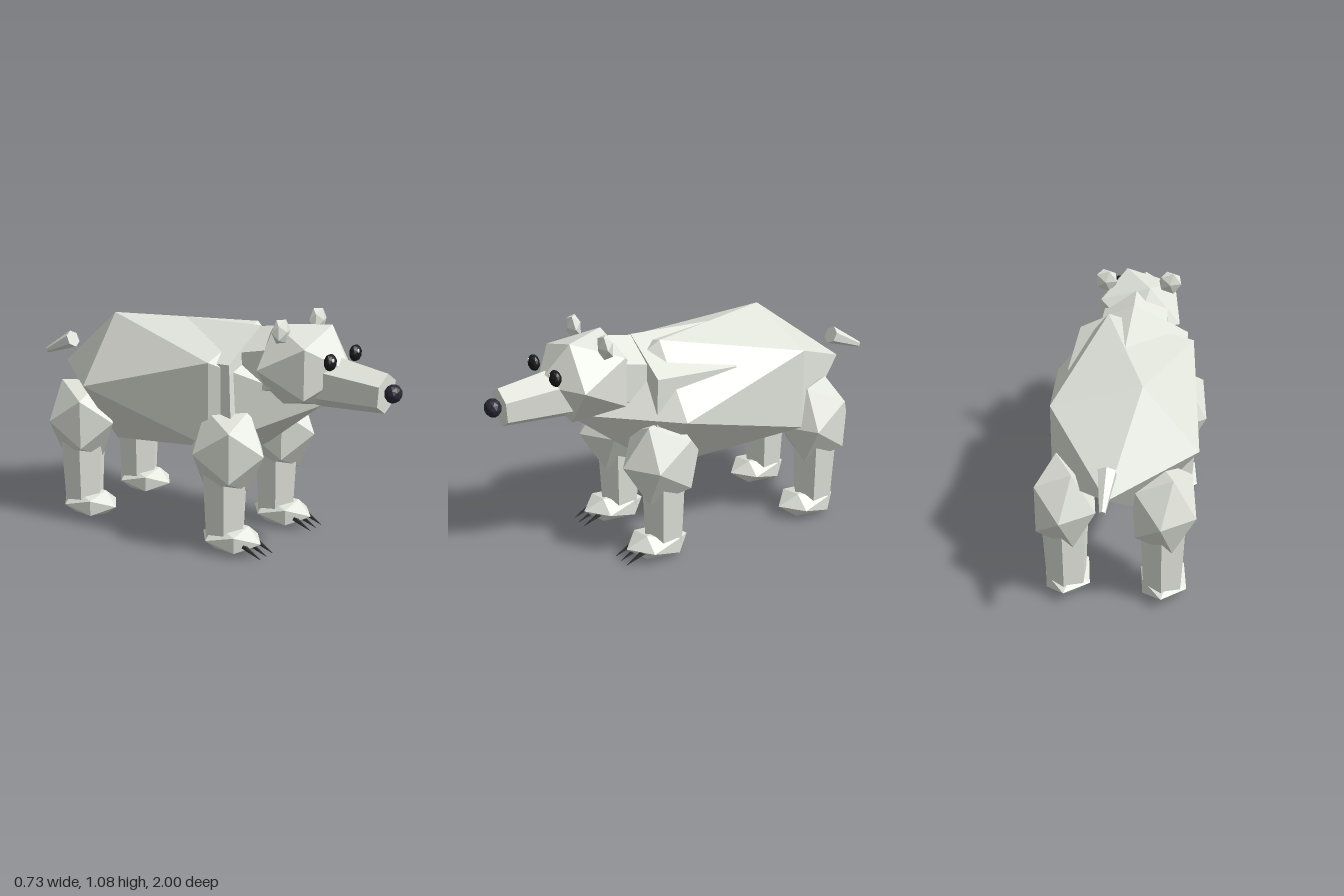
import * as THREE from 'three';
import { ConvexGeometry } from 'three/addons/geometries/ConvexGeometry.js';

const material = (name, color) => {
  const m = new THREE.MeshStandardMaterial({ color, flatShading: true });
  m.name = name;
  return m;
};

export function createModel() {
  const fur = material('pale fur', 0xe2e5dc);
  const eyeBlack = material('eye black', 0x1a1a1c);
  const noseBlack = material('nose black', 0x2a2834);
  const clawGrey = material('claw grey', 0x2c2c30);
  const white = material('glint white', 0xffffff);

  const bear = new THREE.Group();
  bear.name = 'bear';

  function add(name, geometry, mat, x, y, z, parent = bear) {
    const mesh = new THREE.Mesh(geometry, mat);
    mesh.name = name;
    mesh.position.set(x, y, z);
    parent.add(mesh);
    return mesh;
  }

  // Twenty-sided lump with its poles along z
  function lump(rx, ry, rz) {
    const points = [new THREE.Vector3(0, 0, rz), new THREE.Vector3(0, 0, -rz)];
    for (let i = 0; i < 10; i++) {
      const a = i * Math.PI / 5;
      const z = i % 2 ? -0.447 : 0.447;
      points.push(new THREE.Vector3(0.894 * rx * Math.cos(a), 0.894 * ry * Math.sin(a), z * rz));
    }
    return new ConvexGeometry(points);
  }

  // Rounder faceted ball for small dark details
  const ball = (rx, ry, rz) => new THREE.IcosahedronGeometry(1, 1).scale(rx, ry, rz);

  // Tapered prism running from one point to another
  function taper(name, from, to, r0, r1, sides, mat, parent = bear) {
    const a = new THREE.Vector3(...from);
    const b = new THREE.Vector3(...to);
    const dir = b.clone().sub(a);
    const mid = a.clone().add(b).multiplyScalar(0.5);
    const geometry = new THREE.CylinderGeometry(r1, r0, dir.length(), sides);
    const mesh = add(name, geometry, mat, mid.x, mid.y, mid.z, parent);
    mesh.quaternion.setFromUnitVectors(new THREE.Vector3(0, 1, 0), dir.normalize());
    return mesh;
  }

  // Torso, shoulders and neck
  add('body', lump(0.4, 0.365, 0.74), fur, 0, 0.69, -0.125);
  const shoulders = taper('shoulders', [0, 0.73, -0.1], [0, 0.745, 0.3], 0.27, 0.265, 6, fur);
  shoulders.scale.x = 1.12;
  taper('neck', [0, 0.8, 0.2], [0, 0.86, 0.45], 0.19, 0.17, 6, fur);

  // Head with snout and nose
  add('head', lump(0.235, 0.215, 0.24), fur, 0, 0.86, 0.515);
  taper('snout', [0, 0.81, 0.6], [0, 0.792, 0.93], 0.125, 0.089, 6, fur);
  add('nose', ball(0.045, 0.042, 0.038), noseBlack, 0, 0.797, 0.962);

  // Ears and eyes
  for (const side of [-1, 1]) {
    add('ear', lump(0.06, 0.06, 0.032), fur, side * 0.155, 1.035, 0.495);
    add('eye', ball(0.038, 0.038, 0.025), eyeBlack, side * 0.11, 0.92, 0.715);
    add('eyeGlint', ball(0.009, 0.009, 0.005), white, side * 0.11 - 0.012, 0.933, 0.735);
  }

  // Legs; only the front paws show claws
  for (const side of [-1, 1]) {
    for (const front of [true, false]) {
      const leg = new THREE.Group();
      leg.name = front ? 'frontLeg' : 'hindLeg';
      leg.position.set(side * 0.217, 0, front ? 0.25 : -0.585);
      bear.add(leg);
      add('thigh', lump(0.163, 0.222, front ? 0.195 : 0.187), fur, 0, front ? 0.475 : 0.485, front ? 0.01 : 0, leg);
      taper('shin', [0, 0.07, 0], [0, 0.46, 0], 0.095, 0.115, 6, fur, leg);
      add('paw', lump(0.122, 0.07, 0.158), fur, 0, 0.064, 0.037, leg);
      if (!front) continue;
      for (const x of [-0.05, 0, 0.05]) {
        taper('claw', [x, 0.058, 0.13], [x, 0.014, 0.225], 0.014, 0.001, 5, clawGrey, leg);
      }
    }
  }

  // Stubby tail
  taper('tail', [0, 0.803, -0.822], [0, 0.722, -0.996], 0.043, 0.014, 6, fur);

  return bear;
}
